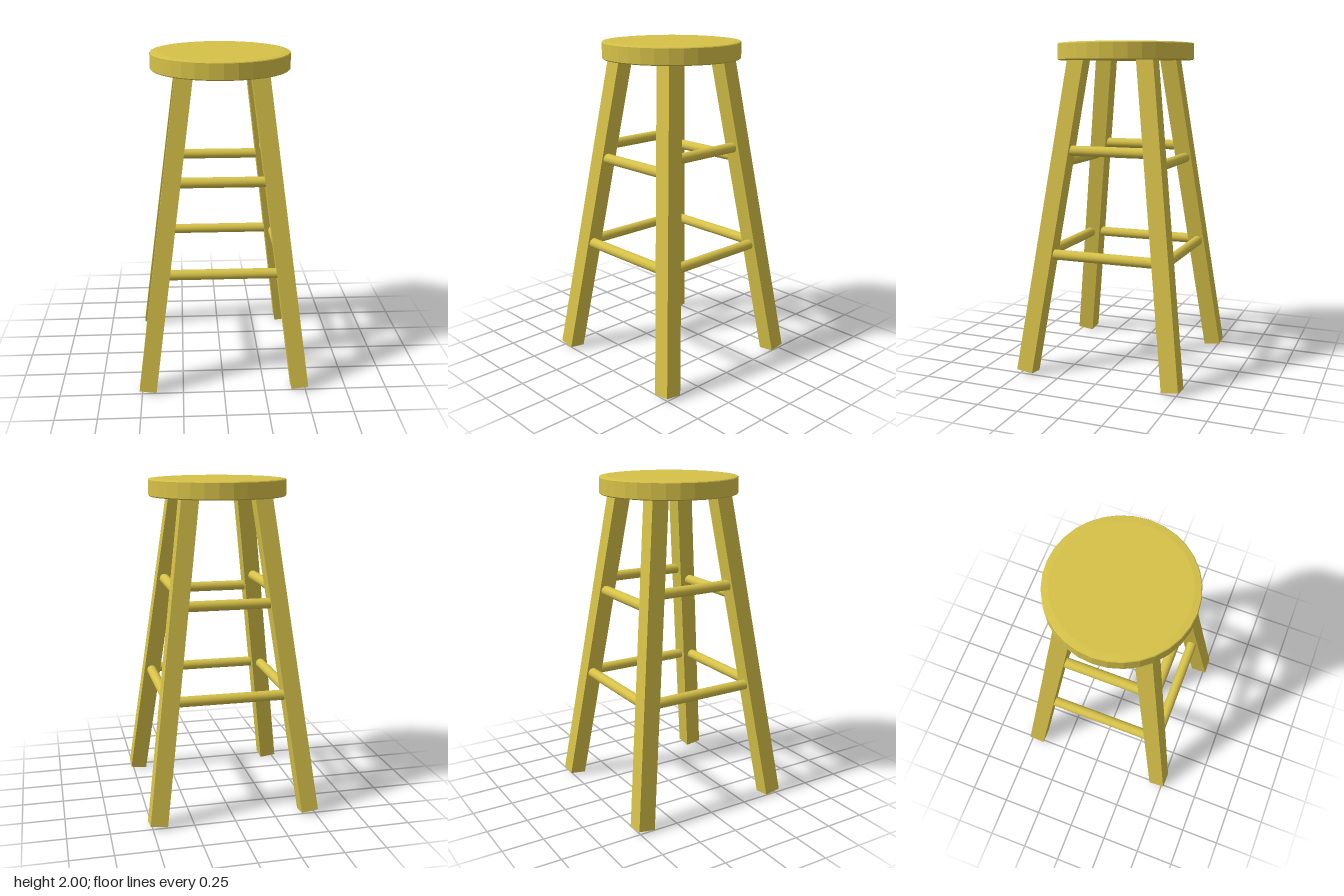
import * as THREE from 'three';

const SLOPE = 0.1316; // outward lean of the legs on both axes
const LEG_W = 0.104;
const LEG_BASE = 0.467; // leg centre at the floor
const legCentre = (y) => LEG_BASE - SLOPE * y;

// Leaning square leg: top hidden in the seat, foot cut square to the leg
function legGeometry(sx, sz) {
  const geo = new THREE.BoxGeometry(LEG_W, 1, LEG_W);
  const p = geo.attributes.position;
  for (let i = 0; i < p.count; i++) {
    const dx = p.getX(i), dz = p.getZ(i);
    const footY = SLOPE * (dx * sx + dz * sz + LEG_W);
    const y = p.getY(i) > 0 ? 1.92 : footY;
    p.setXYZ(i, sx * legCentre(y) + dx, y, sz * legCentre(y) + dz);
  }
  geo.computeVertexNormals();
  return geo;
}

export function createModel() {
  const model = new THREE.Group();
  model.name = 'stool';
  const wood = new THREE.MeshStandardMaterial({ color: 0xd6c148 });
  const woodFlat = new THREE.MeshStandardMaterial({ color: 0xd6c148, flatShading: true });

  const add = (name, geo, mat) => {
    const mesh = new THREE.Mesh(geo, mat);
    mesh.name = name;
    model.add(mesh);
    return mesh;
  };

  // Round faceted seat with a softly eased rim
  const profile = [
    [0, 1.895], [0.408, 1.895], [0.415, 1.901], [0.415, 1.991],
    [0.411, 1.996], [0.375, 2], [0, 2],
  ].map(([r, y]) => new THREE.Vector2(r, y));
  add('seat', new THREE.LatheGeometry(profile, 32), woodFlat);

  // Four splayed legs
  for (const sx of [-1, 1]) {
    for (const sz of [-1, 1]) {
      const name = (sz > 0 ? 'front' : 'back') + (sx > 0 ? 'Left' : 'Right') + 'Leg';
      add(name, legGeometry(sx, sz), woodFlat);
    }
  }

  // Round rungs, ending inside the legs
  const rung = (name, y, side, alongX, offset) => {
    const geo = new THREE.CylinderGeometry(0.031, 0.031, 2 * legCentre(y), 24);
    const mesh = add(name, geo, wood);
    const d = side * (legCentre(y) + offset);
    if (alongX) {
      mesh.rotation.z = Math.PI / 2;
      mesh.position.set(0, y, d);
    } else {
      mesh.rotation.x = Math.PI / 2;
      mesh.position.set(d, y, 0);
    }
  };
  for (const s of [-1, 1]) {
    const face = s > 0 ? 'front' : 'back';
    const flank = s > 0 ? 'left' : 'right';
    rung(face + 'LowerRung', 0.735, s, true, 0.011);
    rung(face + 'UpperRung', 1.285, s, true, 0.011);
    rung(flank + 'LowerRung', 0.735, s, false, 0.004);
    rung(flank + 'UpperRung', 1.36, s, false, 0.004);
  }

  return model;
}
